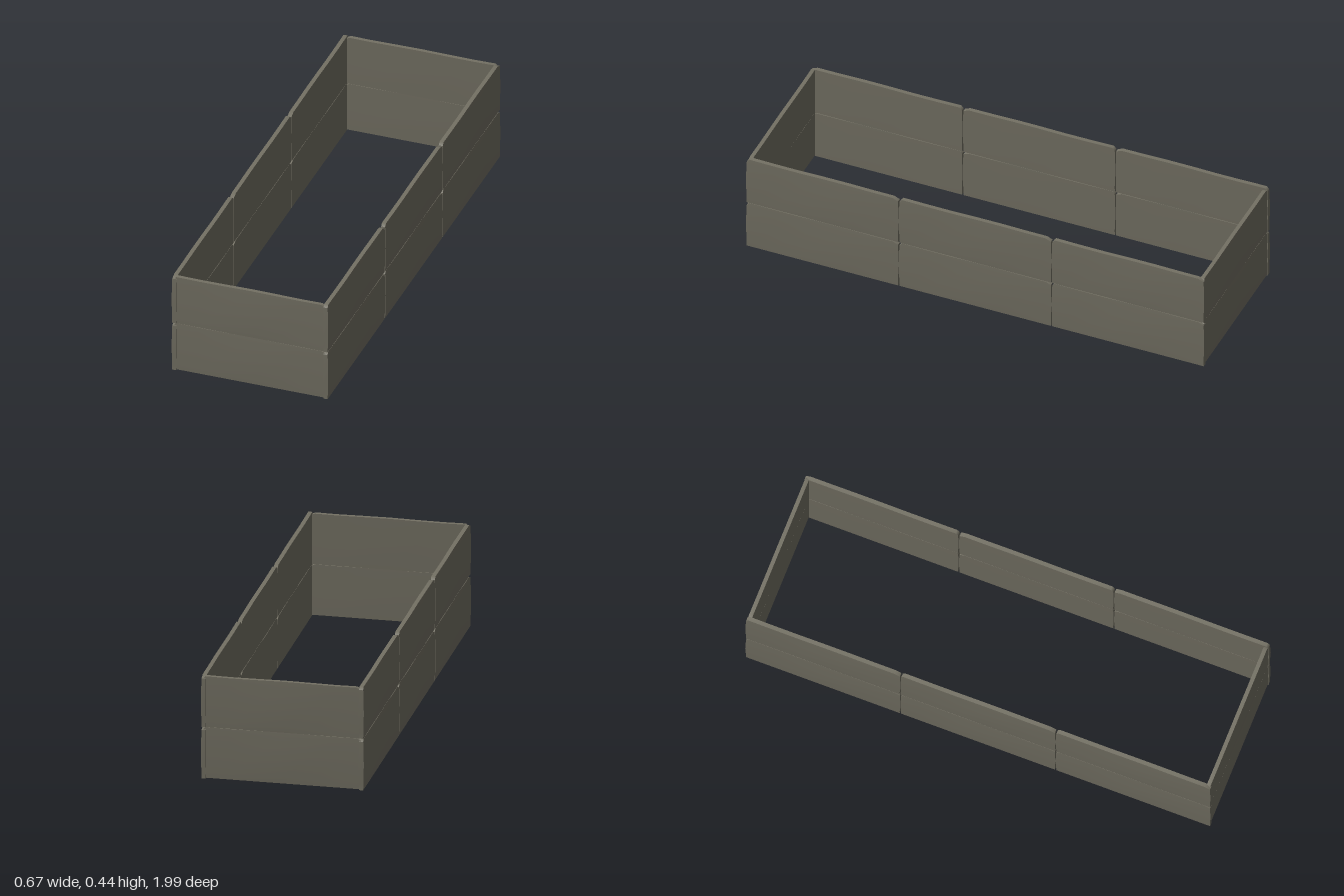
import * as THREE from 'three';

// Column and row positions of a plank, as fractions of its half length and height
const COLS = [-1, -0.96, -0.65, -0.33, 0, 0.33, 0.65, 0.92, 1];
const ROWS = [0, 0.1, 0.5, 0.92, 1];

// Slightly warped board with worn upper corners; local +z is the outer face
function plankGeometry(length, height, thickness, seed) {
  const nx = COLS.length - 1, ny = ROWS.length - 1;
  const geo = new THREE.BoxGeometry(nx, ny, 1, nx, ny, 1);
  const pos = geo.attributes.position;
  for (let i = 0; i < pos.count; i++) {
    const col = Math.round(pos.getX(i) + nx / 2);
    const row = Math.round(pos.getY(i) + ny / 2);
    const side = Math.sign(pos.getZ(i));
    const u = COLS[col], v = ROWS[row];
    const end = col === 0 || col === nx;
    let x = u * length / 2;
    let y = v * height;
    // Worn ends and gently wavy top edge
    if (end) x -= Math.sign(u) * (row === ny ? 0.003 : 0.0015 * (1 + Math.sin(v * 7 + seed)));
    if (row === ny) y += end ? -0.011 : 0.0012 * Math.sin(u * 5 + seed);
    // Hewn faces: fullest at mid height
    const bulge = 4 * v * (1 - v) * (0.003 + 0.001 * Math.sin(u * 4 + seed));
    const z = side * (thickness / 2 + (side > 0 ? bulge : bulge * 0.3));
    pos.setXYZ(i, x, y, z);
  }
  geo.computeVertexNormals();
  return geo;
}

export function createModel() {
  const model = new THREE.Group();
  model.name = 'raisedBedFrame';
  const wood = new THREE.MeshStandardMaterial({ color: 0x747164 });
  wood.name = 'weatheredWood';

  const longPlank = plankGeometry(0.664, 0.217, 0.017, 0.6);
  const endPlank = plankGeometry(0.656, 0.215, 0.016, 1.4);

  function addPlank(name, geo, x, y, z, turn) {
    const mesh = new THREE.Mesh(geo, wood);
    mesh.name = name;
    mesh.position.set(x, y, z);
    mesh.rotation.y = turn;
    model.add(mesh);
  }

  for (let course = 0; course < 2; course++) {
    const level = course ? 'upper' : 'lower';
    // Three boards along each long side
    for (const s of [1, -1]) {
      for (let k = -1; k <= 1; k++) {
        addPlank(`${level}${s > 0 ? 'Left' : 'Right'}Plank${k + 2}`, longPlank,
          s * 0.322, course * 0.219, k * 0.6645, s * Math.PI / 2);
      }
      // One board across each end
      addPlank(`${level}${s > 0 ? 'Front' : 'Back'}Plank`, endPlank,
        0, 0.003 + course * 0.2155, s * 0.983, s > 0 ? 0 : Math.PI);
    }
  }
  return model;
}
